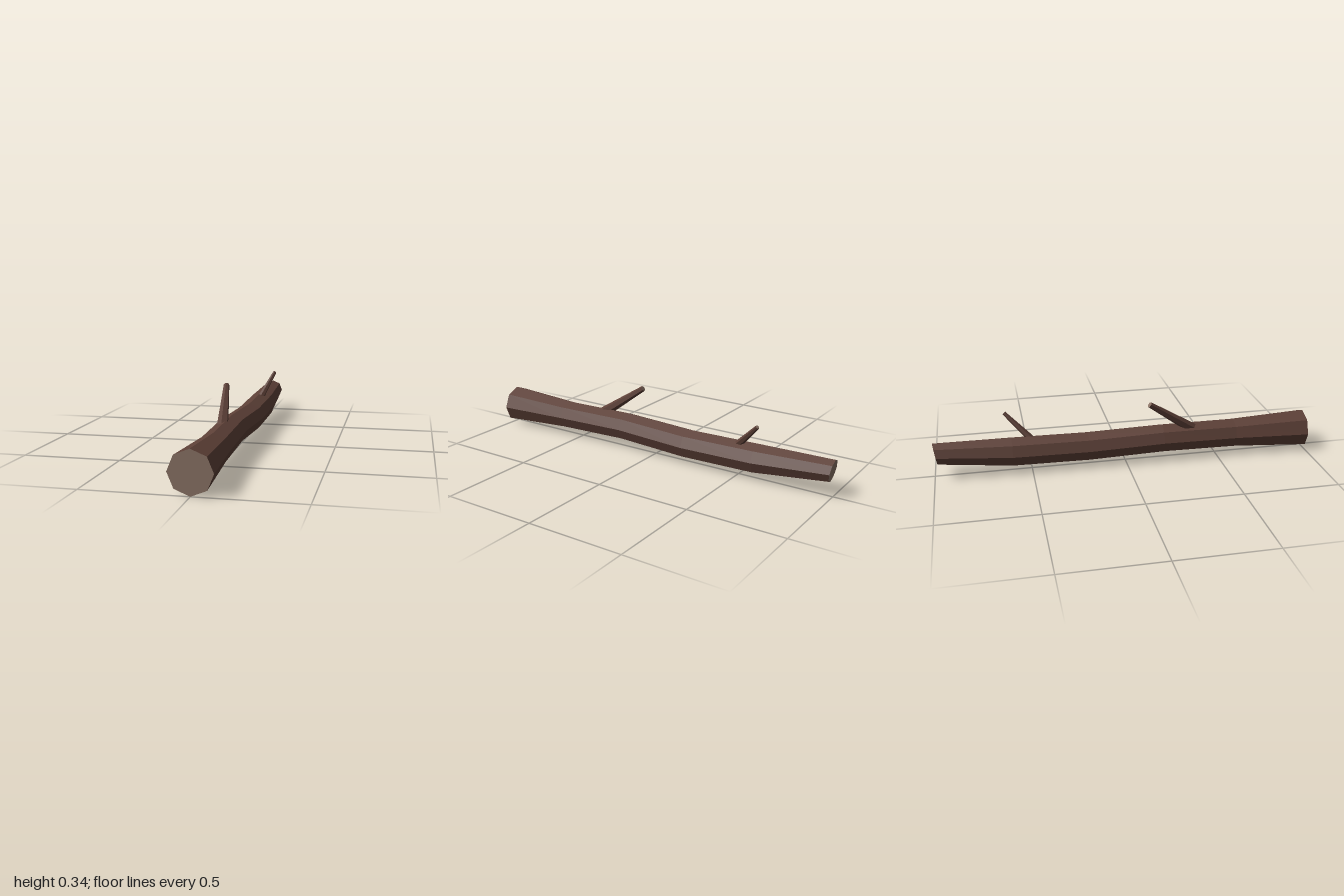
import * as THREE from 'three';

const bark = new THREE.MeshStandardMaterial({ color: 0x5d4037 });
bark.name = 'bark';
const cutWood = new THREE.MeshStandardMaterial({ color: 0x8b7466 });
cutWood.name = 'cutWood';

// Faceted mesh from a cylinder: bark on the side, cut wood on both ends
function facetedMesh(name, geometry) {
  const flat = geometry.toNonIndexed();
  flat.computeVertexNormals();
  const mesh = new THREE.Mesh(flat, [bark, cutWood, cutWood]);
  mesh.name = name;
  return mesh;
}

// Trunk rings from back to front: [centre x, centre y, z, radius]
const rings = [
  [-0.004, 0.129, -0.99, 0.058],
  [-0.001, 0.105, -0.6, 0.078],
  [0.001, 0.099, -0.2, 0.078],
  [-0.007, 0.113, 0.2, 0.077],
  [0, 0.107, 0.6, 0.079],
  [0, 0.103, 1, 0.102],
];

function makeTrunk() {
  const geometry = new THREE.CylinderGeometry(1, 1, 5, 8, 5);
  geometry.rotateX(Math.PI / 2);
  const p = geometry.attributes.position;
  for (let i = 0; i < p.count; i++) {
    const k = Math.round(p.getZ(i) + 2.5);
    const [cx, cy, z, r] = rings[k];
    const dx = p.getX(i) * r, dy = p.getY(i) * r;
    // the thin back end is cut at a slight slant
    const slant = k === 0 ? -0.16 * dy - 0.08 * dx : 0;
    p.setXYZ(i, cx + dx, cy + dy, z + slant);
  }
  return facetedMesh('trunk', geometry);
}

// Tapered twig between two points
function makeBranch(name, from, to, baseRadius, tipRadius) {
  const a = new THREE.Vector3(...from), b = new THREE.Vector3(...to);
  const axis = b.clone().sub(a);
  const geometry = new THREE.CylinderGeometry(tipRadius, baseRadius, axis.length(), 6);
  const mesh = facetedMesh(name, geometry);
  mesh.position.copy(a).add(b).multiplyScalar(0.5);
  mesh.quaternion.setFromUnitVectors(new THREE.Vector3(0, 1, 0), axis.normalize());
  return mesh;
}

export function createModel() {
  const model = new THREE.Group();
  model.name = 'log';
  model.add(
    makeTrunk(),
    makeBranch('largeBranch', [-0.012, 0.14, 0.393], [-0.053, 0.33, 0.12], 0.031, 0.015),
    makeBranch('smallBranch', [-0.005, 0.13, -0.464], [0.069, 0.296, -0.627], 0.021, 0.01),
  );
  return model;
}
